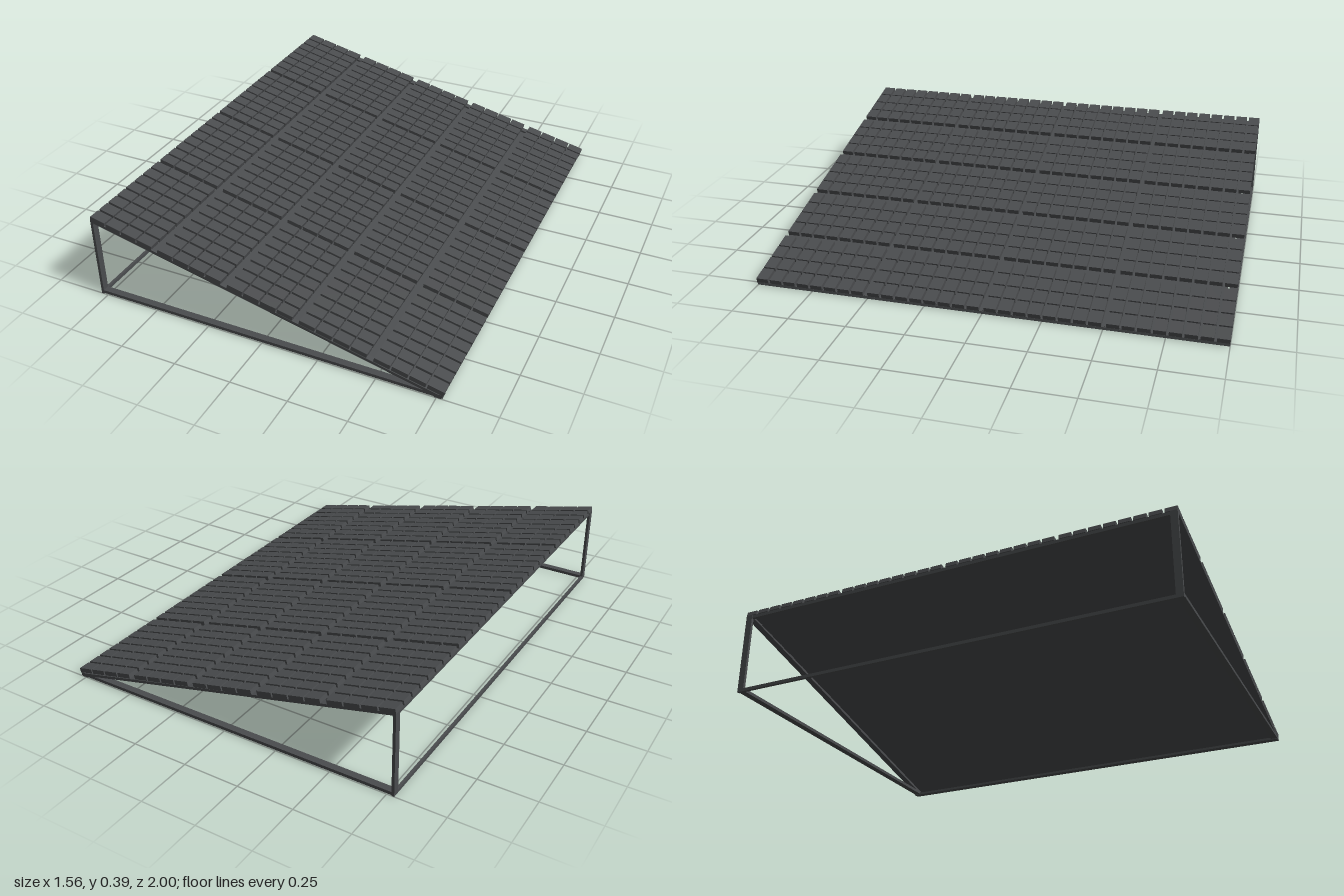
import * as THREE from 'three';
import { mergeGeometries } from 'three/addons/utils/BufferGeometryUtils.js';

const material = new THREE.MeshStandardMaterial({ color: 0x4a4c4e });

function box(parent, name, size, position) {
  const mesh = new THREE.Mesh(new THREE.BoxGeometry(...size), material);
  mesh.name = name;
  mesh.position.set(...position);
  parent.add(mesh);
  return mesh;
}

// One panel: a grid of separate rectangular cells lying in the xz plane
function panelGeometry(length, width, thickness) {
  const cols = 4, rows = 8, gapX = 0.007, gapZ = 0.01;
  const w = (length - (cols - 1) * gapX) / cols;
  const d = (width - (rows - 1) * gapZ) / rows;
  const cells = [];
  for (let i = 0; i < cols; i++) {
    for (let j = 0; j < rows; j++) {
      cells.push(new THREE.BoxGeometry(w, thickness, d).translate(
        (i - (cols - 1) / 2) * (w + gapX), 0, (j - (rows - 1) / 2) * (d + gapZ)));
    }
  }
  return mergeGeometries(cells);
}

export function createModel() {
  const model = new THREE.Group();
  model.name = 'solarArray';

  // Wedge-shaped support frame
  const frame = new THREE.Group();
  frame.name = 'frame';
  model.add(frame);
  const bar = 0.014, depth = 0.03;
  const high = [-0.775, 0.37], low = [0.765, 0.009];
  const run = low[0] - high[0], drop = high[1] - low[1];
  const rafterLength = Math.hypot(run, drop);
  const rafterTilt = -Math.atan2(drop, run);
  const midX = (high[0] + low[0]) / 2, midY = (high[1] + low[1]) / 2;
  for (const side of [1, -1]) {
    const z = side * (1 - depth / 2);
    box(frame, 'baseBeam', [1.55, bar, depth], [0, 0.011, z]);
    box(frame, 'post', [0.012, 0.37, depth], [-0.776, 0.189, z]);
    box(frame, 'rafter', [rafterLength, 0.012, depth], [midX, midY, z]).rotation.z = rafterTilt;
  }
  box(frame, 'backBaseRail', [0.012, bar, 2], [-0.776, 0.007, 0]);
  box(frame, 'topRail', [0.012, bar, 2], [-0.774, 0.365, 0]);
  box(frame, 'lowRail', [0.03, 0.012, 2], [0.755, 0.006, 0]);

  // Backing sheet between the rafters, with a slot along the rear rafter
  box(model, 'backingSheet', [rafterLength, 0.008, 1.955], [midX, midY, 0.0175])
    .rotation.z = rafterTilt;

  // Sloping 5 x 4 field of panels
  const field = new THREE.Group();
  field.name = 'panelField';
  field.position.set(0, 0.205, 0);
  field.rotation.z = -0.225;
  model.add(field);
  const geometry = panelGeometry(0.296, 0.485, 0.02);
  for (let i = 0; i < 5; i++) {
    for (let j = 0; j < 4; j++) {
      const panel = new THREE.Mesh(geometry, material);
      panel.name = 'panel';
      panel.position.set((i - 2) * 0.326, 0, (j - 1.5) * 0.505);
      field.add(panel);
    }
  }
  return model;
}
